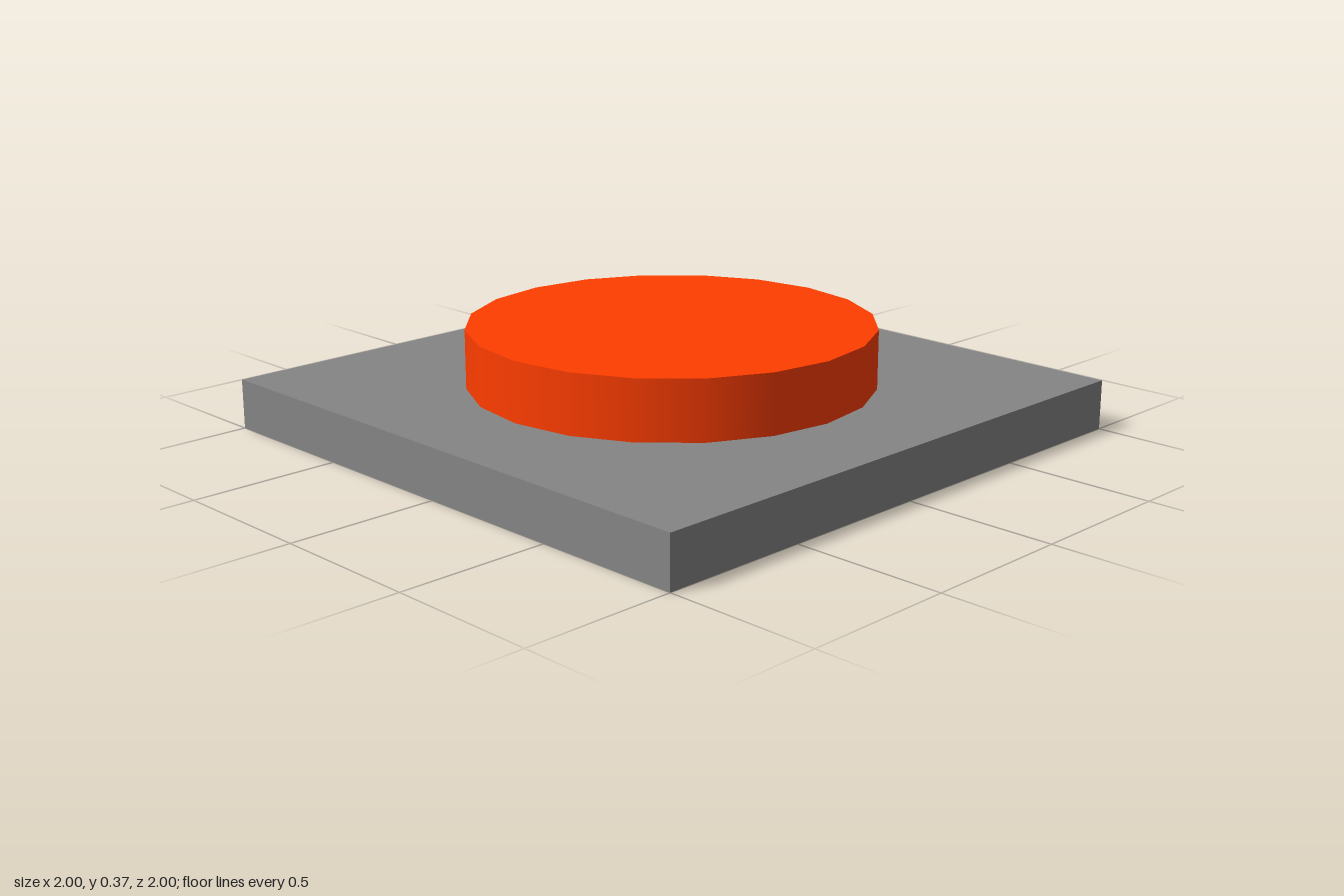
import * as THREE from 'three';

const BASE_HEIGHT = 0.167;
const BUTTON_HEIGHT = 0.198;
const BUTTON_RADIUS = 0.673;

function addPart(group, name, geometry, color, y) {
  const mesh = new THREE.Mesh(geometry, new THREE.MeshStandardMaterial({ color }));
  mesh.name = name;
  mesh.position.y = y;
  group.add(mesh);
}

export function createModel() {
  const model = new THREE.Group();
  model.name = 'pushButton';

  // Square dark grey base plate
  addPart(model, 'basePlate', new THREE.BoxGeometry(2, BASE_HEIGHT, 2), 0x858585, BASE_HEIGHT / 2);

  // Round red button, 20 sides with smooth walls and a sharp rim
  addPart(
    model,
    'button',
    new THREE.CylinderGeometry(BUTTON_RADIUS, BUTTON_RADIUS, BUTTON_HEIGHT, 20),
    0xfe3d00,
    BASE_HEIGHT + BUTTON_HEIGHT / 2
  );

  return model;
}
